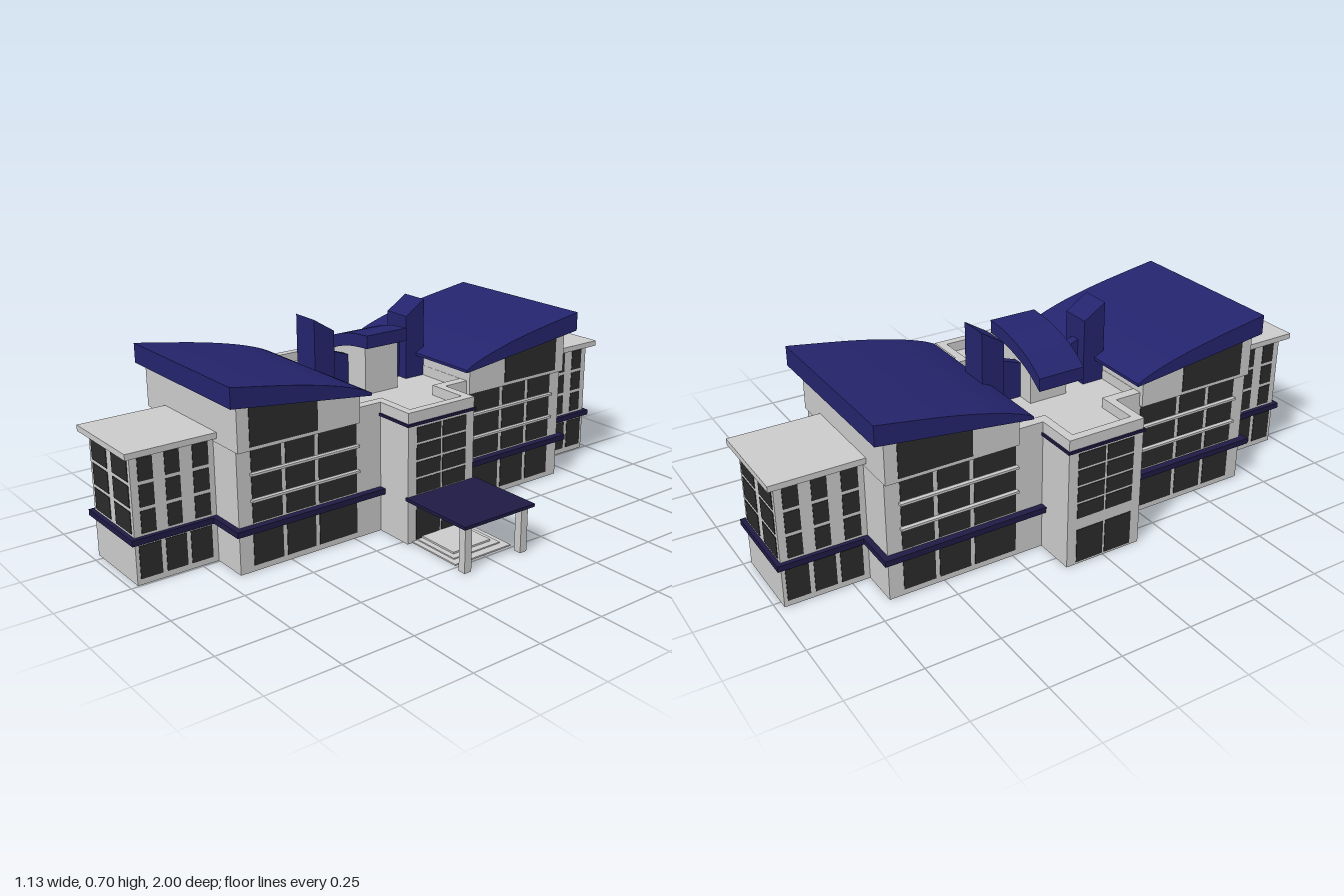
import * as THREE from 'three';
import { toCreasedNormals } from 'three/addons/utils/BufferGeometryUtils.js';

const mat = (color) => new THREE.MeshStandardMaterial({ color });
const V = (a, b) => new THREE.Vector2(a, b);
const CX = -0.1425; // axis about which the building is mirrored

export function createModel() {
  const root = new THREE.Group();
  const grey = mat(0xcccccc), navy = mat(0x24246e), trim = mat(0x1f1a45), glass = mat(0x2b2b2b);

  const add = (name, geo, m, parent = root) => {
    const mesh = new THREE.Mesh(geo, m);
    mesh.name = name;
    parent.add(mesh);
    return mesh;
  };
  // Box given by its limits on each axis
  const box = (name, m, x0, x1, y0, y1, z0, z1, parent = root) => {
    const g = new THREE.BoxGeometry(x1 - x0, y1 - y0, z1 - z0);
    g.translate((x0 + x1) / 2, (y0 + y1) / 2, (z0 + z1) / 2);
    return add(name, g, m, parent);
  };
  // Outline in (z, y) extruded from x0 to x1
  const sideProfile = (name, m, pts, x0, x1, parent = root) => {
    const g = new THREE.ExtrudeGeometry(new THREE.Shape(pts), { depth: x1 - x0, bevelEnabled: false });
    g.rotateY(-Math.PI / 2).translate(x1, 0, 0);
    return add(name, toCreasedNormals(g, 0.5), m, parent);
  };
  // Outline in (x, z) extruded from y0 to y1
  const planProfile = (name, m, shape, y0, y1) => {
    const g = new THREE.ExtrudeGeometry(shape, { depth: y1 - y0, bevelEnabled: false });
    g.rotateX(-Math.PI / 2).translate(0, y0, 0);
    return add(name, g, m);
  };
  // Panes on both long walls: wall is the half width from the mirror axis
  const sidePanes = (name, wall, cols, rows, s, parent) => {
    for (const side of [-1, 1]) for (const [a, b] of cols) for (const [y0, y1] of rows) {
      const x = CX + side * wall;
      box(name, glass, x - 0.002, x + 0.002, y0, y1, Math.min(a * s, b * s), Math.max(a * s, b * s), parent);
    }
  };
  // Plus-shaped outline: long arm (hx, az) and broad middle (mx, hz)
  const plus = (hx, az, mx, hz) => [
    [hx, -az], [hx, az], [mx, az], [mx, hz], [-mx, hz], [-mx, az],
    [-hx, az], [-hx, -az], [-mx, -az], [-mx, -hz], [mx, -hz], [mx, -az],
  ].map(([x, z]) => V(CX + x, z));

  const ground = [[0.02, 0.13]];
  const upper = [[0.165, 0.235], [0.247, 0.322], [0.335, 0.405]];
  const mainCols = [[0.24, 0.39], [0.405, 0.515], [0.53, 0.64]];

  // Front and back wings
  for (const s of [1, -1]) {
    const wing = new THREE.Group();
    wing.name = s > 0 ? 'frontWing' : 'backWing';
    root.add(wing);
    const zbox = (name, m, x0, x1, y0, y1, a, b) =>
      box(name, m, x0, x1, y0, y1, Math.min(a * s, b * s), Math.max(a * s, b * s), wing);
    const p = (list) => list.map(([z, y]) => V(z * s, y));

    zbox('wingWalls', grey, CX - 0.2725, CX + 0.2725, 0, 0.41, 0.14, 0.69);
    sideProfile('upperStorey', grey, p([[0.235, 0.41], [0.692, 0.41], [0.692, 0.562], [0.235, 0.51]]),
      CX - 0.2875, CX + 0.2875, wing);
    zbox('wingBand', trim, CX - 0.2975, CX + 0.2975, 0.14, 0.16, 0.14, 0.71);

    // Long wall glazing with projecting sills
    sidePanes('wingWindow', 0.2725, mainCols, [...ground, ...upper], s, wing);
    for (const side of [-1, 1]) {
      const x = CX + side * 0.2745;
      for (const y of [0.241, 0.3285])
        zbox('windowShelf', grey, x - 0.012, x + 0.012, y - 0.004, y + 0.004, 0.235, 0.645);
      const xc = CX + side * 0.2875;
      sideProfile('clerestoryWindow', glass,
        p([[0.4, 0.422], [0.65, 0.422], [0.65, 0.552], [0.4, 0.525]]), xc - 0.002, xc + 0.002, wing);
    }

    // Curved roof, thick at the outer end and thin at the inner end
    const end = s > 0 ? 0.72 : 0.73, half = s > 0 ? 0.305 : 0.312;
    const top = new THREE.SplineCurve(p([[0.2, 0.51], [0.25, 0.532], [0.35, 0.562], [0.5, 0.594], [end, 0.63]]));
    sideProfile('curvedRoof', navy, [...top.getPoints(24), ...p([[end, 0.562], [0.2, 0.5]])],
      CX - half, CX + half, wing);

    // End bay
    zbox('bayWalls', grey, CX - 0.1375, CX + 0.1375, 0, 0.425, 0.69, 0.975);
    zbox('bayRoof', grey, CX - 0.165, CX + 0.165, 0.425, 0.445, 0.69, 1.0);
    zbox('bayBand', trim, CX - 0.1525, CX + 0.1525, 0.14, 0.16, 0.69, 0.99);
    const bayRows = [[0.168, 0.242], [0.254, 0.326], [0.338, 0.413]];
    sidePanes('baySideWindow', 0.1375, [[0.71, 0.765], [0.81, 0.86], [0.9, 0.95]], bayRows, s, wing);
    sidePanes('bayGroundWindow', 0.1375, [[0.71, 0.785], [0.8, 0.872], [0.888, 0.963]], ground, s, wing);
    for (const [x0, x1] of [[-0.265, -0.16], [-0.125, -0.02]]) for (const [y0, y1] of bayRows)
      zbox('bayEndWindow', glass, x0, x1, y0, y1, 0.973, 0.977);

    // Roof fin and its link to the tower
    sideProfile('roofFin', navy, p([[0.155, 0.42], [0.235, 0.42], [0.235, 0.7], [0.155, 0.65]]),
      -0.21, -0.105, wing);
    sideProfile('finLink', navy, p([[0.06, 0.42], [0.16, 0.42], [0.16, 0.575], [0.06, 0.54]]),
      -0.175, -0.143, wing);
  }

  // Cross wing with parapet
  box('crossWing', grey, CX - 0.4175, CX + 0.4175, 0, 0.42, -0.14, 0.14);
  planProfile('roofDeck', grey, new THREE.Shape(plus(0.41, 0.135, 0.2725, 0.237)), 0.405, 0.422);
  const parapet = new THREE.Shape(plus(0.4175, 0.14, 0.2725, 0.237));
  parapet.holes.push(new THREE.Path(plus(0.3875, 0.11, 0.2375, 0.234)));
  planProfile('parapet', grey, parapet, 0.42, 0.457);
  box('crossWingBand', trim, CX - 0.4235, CX + 0.4235, 0.411, 0.42, -0.146, 0.146);

  // Stair windows and doors at both ends of the cross wing
  const stairRows = [0, 1, 2, 3].map((i) => [0.17 + i * 0.06, 0.222 + i * 0.06]);
  sidePanes('stairWindow', 0.4175, [[-0.105, -0.004], [0.004, 0.105]], stairRows, 1, root);
  sidePanes('entranceDoor', 0.4175, [[-0.105, -0.004], [0.004, 0.105]], [[0.008, 0.128]], 1, root);

  // Central tower with a roof that curves down to the right
  box('tower', grey, -0.235, -0.045, 0.42, 0.56, -0.07, 0.07);
  const towerPts = (dy) => new THREE.SplineCurve(
    [V(-0.31, 0.545 + dy), V(-0.23, 0.594 + dy), V(-0.12, 0.628 + dy), V(-0.015, 0.639 + dy)]).getPoints(16);
  const towerRoof = new THREE.ExtrudeGeometry(
    new THREE.Shape([...towerPts(0), ...towerPts(-0.045).reverse()]), { depth: 0.17, bevelEnabled: false });
  towerRoof.translate(0, 0, -0.085);
  add('towerRoof', toCreasedNormals(towerRoof, 0.5), navy);
  const towerHead = new THREE.Shape([V(-0.235, 0.55), V(-0.045, 0.55), V(-0.045, 0.595), V(-0.12, 0.59), V(-0.235, 0.553)]);
  const headGeo = new THREE.ExtrudeGeometry(towerHead, { depth: 0.14, bevelEnabled: false });
  add('towerHead', headGeo.translate(0, 0, -0.07), grey);

  // Entrance canopy, posts and steps
  box('canopy', trim, 0.27, 0.562, 0.156, 0.167, -0.152, 0.147);
  for (const z of [-0.12, 0.12]) box('canopyPost', grey, 0.522, 0.55, 0, 0.157, z - 0.014, z + 0.014);
  box('upperStep', grey, 0.27, 0.435, 0, 0.015, -0.08, 0.08);
  box('middleStep', grey, 0.27, 0.46, 0, 0.009, -0.1, 0.1);
  box('lowerStep', grey, 0.27, 0.49, 0, 0.005, -0.12, 0.12);

  return root;
}
